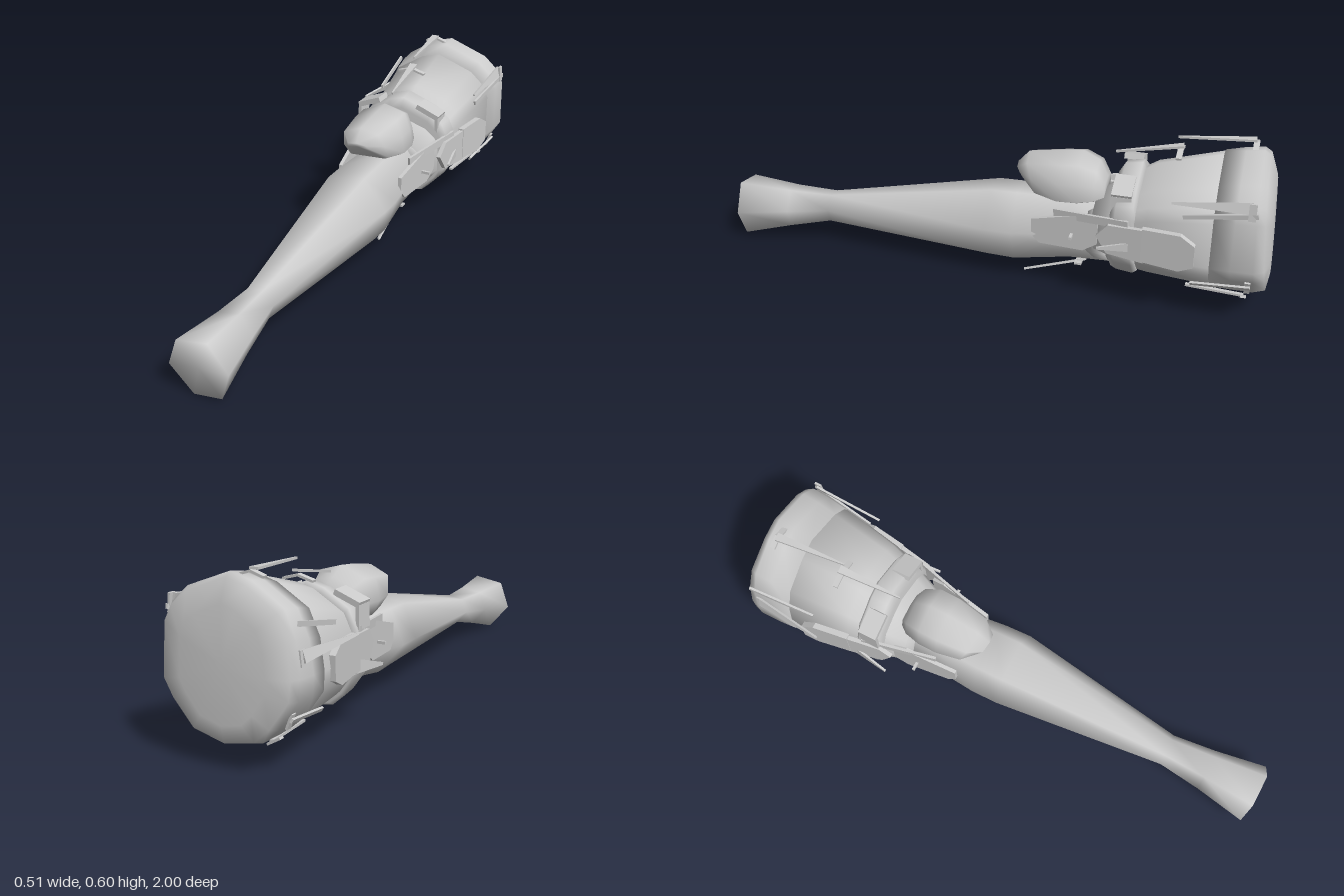
import * as THREE from 'three';

const material = new THREE.MeshStandardMaterial({ color: 0xcccccc, side: THREE.DoubleSide });

// Outlines run counter-clockwise seen from the front, in units of about one
const shaftOutline = [[-0.27, -1], [0.68, -0.85], [1, 0.1], [0.41, 1], [-0.64, 0.8], [-1, -0.15]];
const barrelOutline = [
  [0, -1], [0.5, -0.88], [0.84, -0.55], [1, -0.32], [1, 0.38], [0.9, 0.58], [0.66, 0.78],
  [0.02, 1], [-0.3, 0.92], [-0.78, 0.64], [-0.94, 0.3], [-1, -0.12], [-0.98, -0.38], [-0.7, -0.74], [-0.46, -0.93],
];
const kneeOutline = [
  [-0.75, -1], [0.8, -0.85], [1, -0.7], [0.9, 0], [0.68, 0.74], [-0.05, 1], [-0.85, 0.55], [-1, -0.4],
];

// Loft an outline through sections [z, left, right, bottom, top, lean], front to back;
// lean moves the top of a section forward and its bottom back
function loft(name, outline, sections) {
  const pos = [], index = [], n = outline.length;
  sections.forEach(([z, l, r, b, t, lean = 0]) => outline.forEach(([x, y]) =>
    pos.push((l + r) / 2 + (x * (r - l)) / 2, (b + t) / 2 + (y * (t - b)) / 2, z + lean * y)));
  for (let i = 0; i < sections.length - 1; i++) {
    for (let j = 0; j < n; j++) {
      const a = i * n + j, b = i * n + ((j + 1) % n);
      index.push(a, a + n, b, b, a + n, b + n);
    }
  }
  // Close both ends, with shading running softly over the rims
  [sections[0], sections[sections.length - 1]].forEach(([z, l, r, b, t], end) => {
    const start = end * (sections.length - 1) * n, centre = pos.length / 3;
    pos.push((l + r) / 2, (b + t) / 2, z);
    for (let j = 0; j < n; j++) {
      const p = start + j, q = start + ((j + 1) % n);
      index.push(centre, end ? q : p, end ? p : q);
    }
  });
  const geo = new THREE.BufferGeometry();
  geo.setAttribute('position', new THREE.Float32BufferAttribute(pos, 3));
  geo.setIndex(index);
  geo.computeVertexNormals();
  const mesh = new THREE.Mesh(geo, material);
  mesh.name = name;
  return mesh;
}

// Flat strip between two points, lying flat against the given normal
function strip(name, from, to, width, normal, thick = 0.008) {
  const a = new THREE.Vector3(...from), b = new THREE.Vector3(...to);
  const dir = b.clone().sub(a), length = dir.length();
  dir.normalize();
  const side = new THREE.Vector3(...normal).cross(dir).normalize();
  const up = dir.clone().cross(side);
  const mesh = new THREE.Mesh(new THREE.BoxGeometry(width, thick, length), material);
  mesh.quaternion.setFromRotationMatrix(new THREE.Matrix4().makeBasis(side, up, dir));
  mesh.position.copy(a.add(b).multiplyScalar(0.5));
  mesh.name = name;
  return mesh;
}

// Thin tag narrowing to a point at its far end
function tag(name, base, tip, width, normal) {
  const mesh = strip(name, base, tip, width, normal);
  const p = mesh.geometry.attributes.position;
  for (let i = 0; i < p.count; i++) if (p.getZ(i) > 0) p.setX(i, p.getX(i) * 0.15);
  mesh.geometry.computeVertexNormals();
  return mesh;
}

// Side plate from a (z, y) outline; its x follows a slope along z
function plate(name, points, side, x0, slope, thick) {
  const shape = new THREE.Shape(points.map(([z, y]) => new THREE.Vector2(z, y)));
  const geo = new THREE.ExtrudeGeometry(shape, { depth: thick, bevelEnabled: false });
  geo.rotateY(-Math.PI / 2).translate(thick / 2, 0, 0);
  const p = geo.attributes.position;
  for (let i = 0; i < p.count; i++) p.setX(i, p.getX(i) + 0.02 + side * (x0 + slope * p.getZ(i)));
  geo.computeVertexNormals();
  const mesh = new THREE.Mesh(geo, material);
  mesh.name = name;
  return mesh;
}

export function createModel() {
  const model = new THREE.Group();
  model.name = 'paddedLeg';

  // Six-sided shaft with a flared foot end
  model.add(loft('shaft', shaftOutline, [
    [0.99, -0.08, 0.14, 0, 0.215, 0.01], [0.8, -0.05, 0.105, 0.05, 0.202], [0.64, -0.035, 0.083, 0.09, 0.2],
    [0, -0.115, 0.168, 0.075, 0.335], [-0.1, -0.115, 0.165, 0.07, 0.338],
    [-0.3, -0.1, 0.14, 0.1, 0.335], [-0.5, -0.1, 0.14, 0.11, 0.33],
  ]));

  // Rounded knee cap, its blunt nose sloping back underneath
  model.add(loft('kneeCap', kneeOutline, [
    [-0.1, -0.04, 0.055, 0.385, 0.425, 0.015], [-0.15, -0.085, 0.1, 0.335, 0.47, 0.025],
    [-0.25, -0.1, 0.125, 0.322, 0.492], [-0.32, -0.1, 0.125, 0.325, 0.5],
    [-0.38, -0.085, 0.105, 0.335, 0.47], [-0.41, -0.06, 0.075, 0.35, 0.41],
  ]));

  // Thigh barrel, upper cuff and the straps around its narrow end
  model.add(loft('thigh', barrelOutline, [
    [-0.38, -0.12, 0.15, 0.12, 0.35], [-0.46, -0.15, 0.18, 0.1, 0.41],
    [-0.58, -0.178, 0.21, 0.085, 0.49], [-0.82, -0.213, 0.244, 0.072, 0.56],
  ]));
  model.add(loft('cuff', barrelOutline, [
    [-0.8, -0.212, 0.243, 0.072, 0.558], [-0.87, -0.218, 0.25, 0.07, 0.577],
    [-0.94, -0.218, 0.253, 0.072, 0.587, 0.01], [-0.972, -0.205, 0.24, 0.085, 0.573, 0.02],
    [-0.99, -0.13, 0.17, 0.14, 0.5, 0.01],
  ]));
  model.add(loft('kneeStrap', barrelOutline, [
    [-0.45, -0.158, 0.185, 0.085, 0.44], [-0.47, -0.175, 0.2, 0.075, 0.475],
    [-0.53, -0.182, 0.205, 0.068, 0.485], [-0.545, -0.17, 0.195, 0.08, 0.46],
  ]));
  model.add(loft('lowerKneeStrap', barrelOutline, [
    [-0.36, -0.1, 0.13, 0.11, 0.33], [-0.39, -0.125, 0.155, 0.1, 0.34], [-0.44, -0.13, 0.16, 0.1, 0.34],
  ]));

  // Hinge plates, pads and braces, mirrored on both sides
  for (const s of [-1, 1]) {
    model.add(plate('hingePlate', [[-0.17, 0.22], [-0.2, 0.19], [-0.36, 0.195], [-0.41, 0.23],
      [-0.41, 0.32], [-0.36, 0.335], [-0.24, 0.3], [-0.17, 0.28]], s, 0.105, -0.115, 0.014));
    model.add(plate('thighPad', [[-0.41, 0.28], [-0.45, 0.22], [-0.58, 0.215],
      [-0.58, 0.34], [-0.45, 0.33]], s, 0.107, -0.17, 0.016));
    model.add(plate('rearPad', [[-0.57, 0.22], [-0.7, 0.215], [-0.75, 0.24],
      [-0.75, 0.32], [-0.7, 0.35], [-0.57, 0.345]], s, 0.12, -0.145, 0.022));
    model.add(strip('sideBrace', [0.02 + s * 0.125, 0.315, -0.25], [0.02 + s * 0.19, 0.34, -0.52], 0.03, [s, 0, 0], 0.01));
    model.add(strip('hingePin', [0.02 + s * 0.13, 0.25, -0.32], [0.02 + s * 0.18, 0.25, -0.32], 0.01, [0, 1, 0], 0.01));

    // Squared strap frame behind the knee cap
    model.add(strip('frameTop', [s * 0.08, 0.455, -0.485], [s * 0.17, 0.42, -0.485], 0.07, [0, 1, 0], 0.02));
    model.add(strip('frameSide', [s * 0.165, 0.42, -0.485], [s * 0.165, 0.34, -0.485], 0.07, [s, 0, 0], 0.012));

    // Side lacing with buckles and loose ends
    const x = 0.018 + s * 0.232;
    model.add(strip('upperSideLace', [x, 0.46, -0.94], [x - s * 0.025, 0.41, -0.7], 0.016, [s, 0, 0]));
    model.add(strip('lowerSideLace', [x - s * 0.03, 0.17, -0.94], [x - s * 0.05, 0.145, -0.74], 0.014, [s, -0.6, 0]));
    model.add(strip('sideBuckle', [x - s * 0.005, s > 0 ? 0.5 : 0.38, -0.92], [x, s > 0 ? 0.44 : 0.33, -0.92], 0.025, [s, 0, 0]));
    model.add(strip('lowerBuckle', [x - s * 0.03, 0.19, -0.93], [x - s * 0.05, 0.14, -0.93], 0.02, [s, -0.5, 0]));
    model.add(strip('bottomLace', [0.02 + s * 0.12, 0.09, -0.92], [0.02 + s * 0.105, 0.09, -0.72], 0.014, [0, -1, 0]));
    model.add(strip('bottomBuckle', [0.02 + s * 0.11, 0.08, -0.92], [0.02 + s * 0.155, 0.105, -0.92], 0.02, [s, -1, 0]));
  }

  // Loose side tags
  model.add(tag('leftSideTag', [0.24, 0.48, -0.92], [0.235, 0.46, -0.66], 0.04, [1, 0.3, 0]));
  model.add(tag('leftPadTag', [0.21, 0.27, -0.6], [0.235, 0.25, -0.42], 0.05, [1, 0, 0]));
  model.add(tag('rightSideTag', [-0.215, 0.36, -0.92], [-0.245, 0.37, -0.66], 0.04, [-1, 0.3, 0]));
  model.add(tag('rightPadTag', [-0.175, 0.24, -0.6], [-0.2, 0.21, -0.42], 0.06, [-1, 0, 0]));

  // Top lacing: two loose tongues with cross bars
  model.add(tag('topTongue', [-0.04, 0.595, -0.9], [-0.02, 0.58, -0.64], 0.03, [0, 1, 0]));
  model.add(tag('frontTongue', [-0.03, 0.545, -0.66], [-0.015, 0.5, -0.43], 0.03, [0, 1, 0]));
  for (const [y, z, w] of [[0.588, -0.9, 0.045], [0.53, -0.65, 0.055]]) {
    for (const s of [-1, 1]) {
      model.add(strip('topBuckle', [-0.033, y, z], [-0.033 + s * w, y - 0.015, z], 0.02, [0, 1, 0]));
    }
  }

  // Loose tongue hanging below the knee
  model.add(tag('bottomTongue', [0.05, 0.085, -0.35], [0.08, 0.025, -0.13], 0.045, [0.5, -1, 0]));
  model.add(strip('bottomTongueBuckle', [0.02, 0.08, -0.33], [0.09, 0.085, -0.33], 0.025, [0, -1, 0]));

  return model;
}
